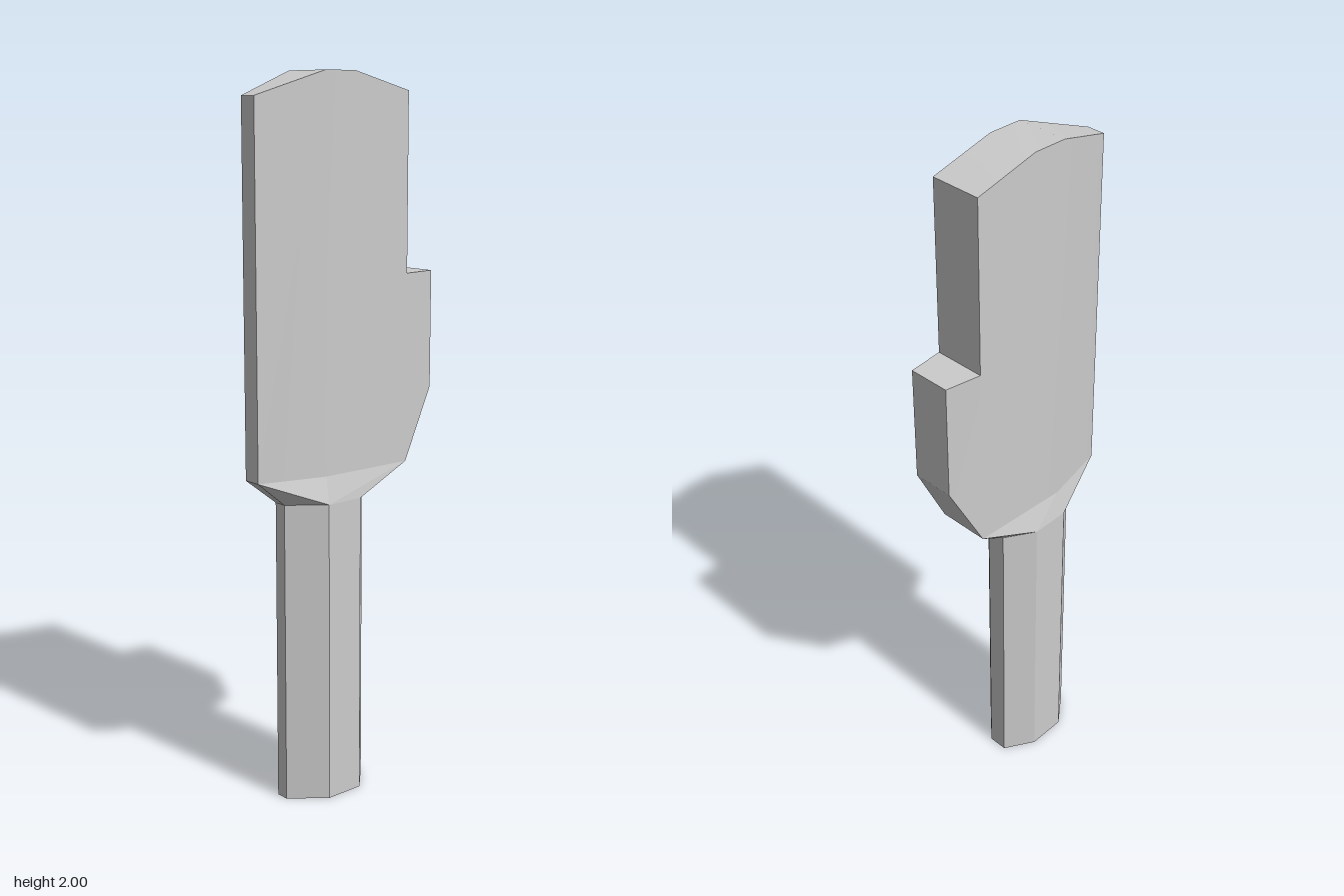
import * as THREE from 'three';
import { toCreasedNormals } from 'three/addons/utils/BufferGeometryUtils.js';
import { ConvexGeometry } from 'three/addons/geometries/ConvexGeometry.js';

const NECK_Y = 0.855, BLADE_Y = 0.93;

// grip outline as [x, z]
const GRIP = [
  [0.018, 0.2], [0.093, 0.105], [0.09, -0.01], [0.01, -0.085],
  [-0.047, -0.085], [-0.095, 0], [-0.09, 0.115], [-0.02, 0.2],
];

// blade cross-sections from front to back: [z, bottom, top, half thickness]
const BLADE = [
  [0.295, BLADE_Y, 1.935, 0.027],
  [0.1, BLADE_Y, 2, 0.076],
  [0, BLADE_Y, 2, 0.076],
  [-0.19, BLADE_Y, 1.95, 0.076],
  [-0.19, BLADE_Y, 1.46, 0.076], // step in the back edge
  [-0.295, 1.13, 1.46, 0.062],
];

function bladeGeometry() {
  const pos = [], index = [];
  for (const [z, b, t, h] of BLADE) pos.push(-h, b, z, h, b, z, h, t, z, -h, t, z);
  const last = (BLADE.length - 1) * 4;
  for (let i = 0; i < last; i += 4) {
    for (let j = 0; j < 4; j++) {
      const k = (j + 1) % 4;
      index.push(i + j, i + 4 + j, i + 4 + k, i + j, i + 4 + k, i + k);
    }
  }
  // front and back ends
  index.push(0, 1, 2, 0, 2, 3, last, last + 2, last + 1, last, last + 3, last + 2);
  const g = new THREE.BufferGeometry();
  g.setAttribute('position', new THREE.Float32BufferAttribute(pos, 3));
  g.setIndex(index);
  return toCreasedNormals(g, 0.45);
}

// tapered neck joining the grip outline to the foot of the blade
function neckGeometry() {
  const points = GRIP.map(([x, z]) => new THREE.Vector3(x, NECK_Y, z));
  for (const [z, , , h] of BLADE.slice(0, 4)) {
    points.push(new THREE.Vector3(h, BLADE_Y, z), new THREE.Vector3(-h, BLADE_Y, z));
  }
  return new ConvexGeometry(points);
}

function gripGeometry() {
  const shape = new THREE.Shape(GRIP.map(([x, z]) => new THREE.Vector2(x, -z)));
  const g = new THREE.ExtrudeGeometry(shape, { depth: NECK_Y, bevelEnabled: false });
  return g.rotateX(-Math.PI / 2);
}

export function createModel() {
  const group = new THREE.Group();
  const material = new THREE.MeshStandardMaterial({ color: 0xcccccc });
  const add = (name, geometry) => {
    const mesh = new THREE.Mesh(geometry, material);
    mesh.name = name;
    group.add(mesh);
  };
  add('blade', bladeGeometry());
  add('neck', neckGeometry());
  add('grip', gripGeometry());
  return group;
}
